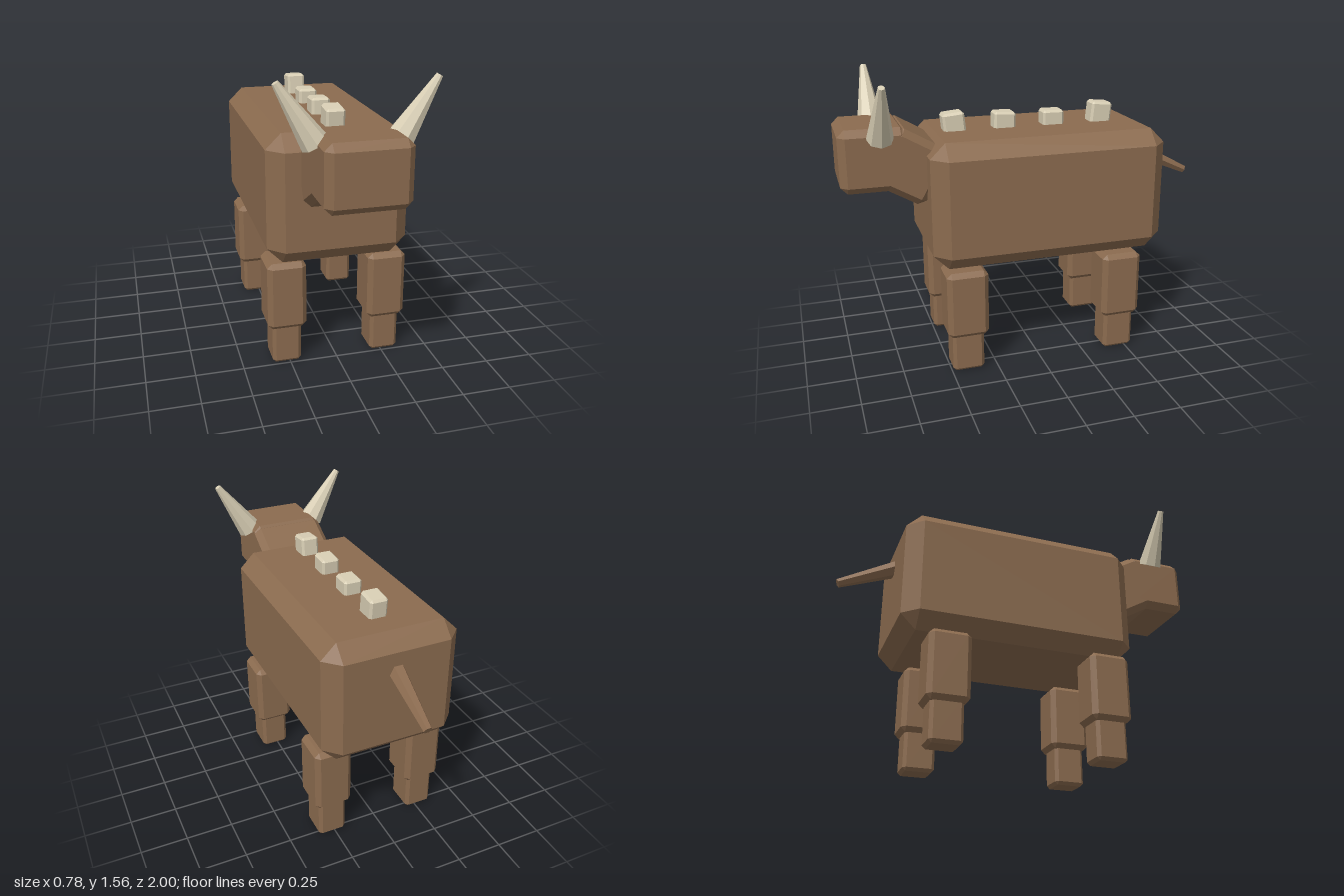
import * as THREE from 'three';
import { ConvexGeometry } from 'three/addons/geometries/ConvexGeometry.js';

// Box with every edge cut at 45 degrees by c
function chamferBox(w, h, d, c) {
  const points = [];
  for (const sx of [-1, 1]) for (const sy of [-1, 1]) for (const sz of [-1, 1]) {
    const x = w / 2, y = h / 2, z = d / 2;
    points.push(
      new THREE.Vector3(sx * x, sy * (y - c), sz * (z - c)),
      new THREE.Vector3(sx * (x - c), sy * y, sz * (z - c)),
      new THREE.Vector3(sx * (x - c), sy * (y - c), sz * z));
  }
  return new ConvexGeometry(points);
}

// Faceted taper running from point a to point b
function taper(a, b, rA, rB, sides, turn = 0) {
  const from = new THREE.Vector3(...a), to = new THREE.Vector3(...b);
  const axis = to.clone().sub(from);
  let geo = new THREE.CylinderGeometry(rB, rA, axis.length(), sides, 1, false, turn).toNonIndexed();
  geo.computeVertexNormals();
  geo.applyQuaternion(new THREE.Quaternion().setFromUnitVectors(new THREE.Vector3(0, 1, 0), axis.normalize()));
  const mid = from.add(to).multiplyScalar(0.5);
  return geo.translate(mid.x, mid.y, mid.z);
}

export function createModel() {
  const model = new THREE.Group();
  model.name = 'hornedBeast';
  const hide = new THREE.MeshStandardMaterial({ color: 0x8b6b4f });
  hide.name = 'brownHide';
  const bone = new THREE.MeshStandardMaterial({ color: 0xd8ceb4 });
  bone.name = 'paleBone';

  const add = (name, geo, mat, pos = [0, 0, 0], tilt = 0) => {
    const mesh = new THREE.Mesh(geo, mat);
    mesh.name = name;
    mesh.position.set(...pos);
    mesh.rotation.x = tilt;
    model.add(mesh);
  };

  // Trunk, neck and head
  add('body', chamferBox(0.73, 0.67, 1.27, 0.08), hide, [0, 0.91, -0.065]);
  add('neck', chamferBox(0.41, 0.32, 0.31, 0.035), hide, [0, 1.106, 0.645], -0.52);
  add('head', chamferBox(0.41, 0.325, 0.345, 0.036), hide, [0, 1.1525, 0.8275]);

  // Tail slopes down behind the body
  add('tail', taper([0, 1.08, -0.635], [0, 0.912, -0.99], 0.049, 0.023, 6, Math.PI / 6), hide);

  // Horns and legs, mirrored
  for (const [side, s] of [['left', 1], ['right', -1]]) {
    add(side + 'Horn', taper([s * 0.2, 1.27, 0.795], [s * 0.375, 1.547, 0.795], 0.068, 0.017, 8), bone);
    for (const [end, z] of [['Front', 0.408], ['Rear', -0.455]]) {
      add(side + end + 'UpperLeg', chamferBox(0.203, 0.367, 0.22, 0.025), hide, [s * 0.266, 0.388, z]);
      add(side + end + 'LowerLeg', chamferBox(0.152, 0.24, 0.17, 0.017), hide, [s * 0.266, 0.12, z]);
    }
  }

  // Back plates: z, top height, lean
  const plates = [[0.387, 1.34, 0.1], [0.115, 1.328, -0.05], [-0.158, 1.322, -0.01], [-0.435, 1.35, -0.1]];
  plates.forEach(([z, top, lean], i) =>
    add('backPlate' + (i + 1), chamferBox(0.098, 0.15, 0.118, 0.012), bone, [0, top - 0.075, z], lean));

  return model;
}
